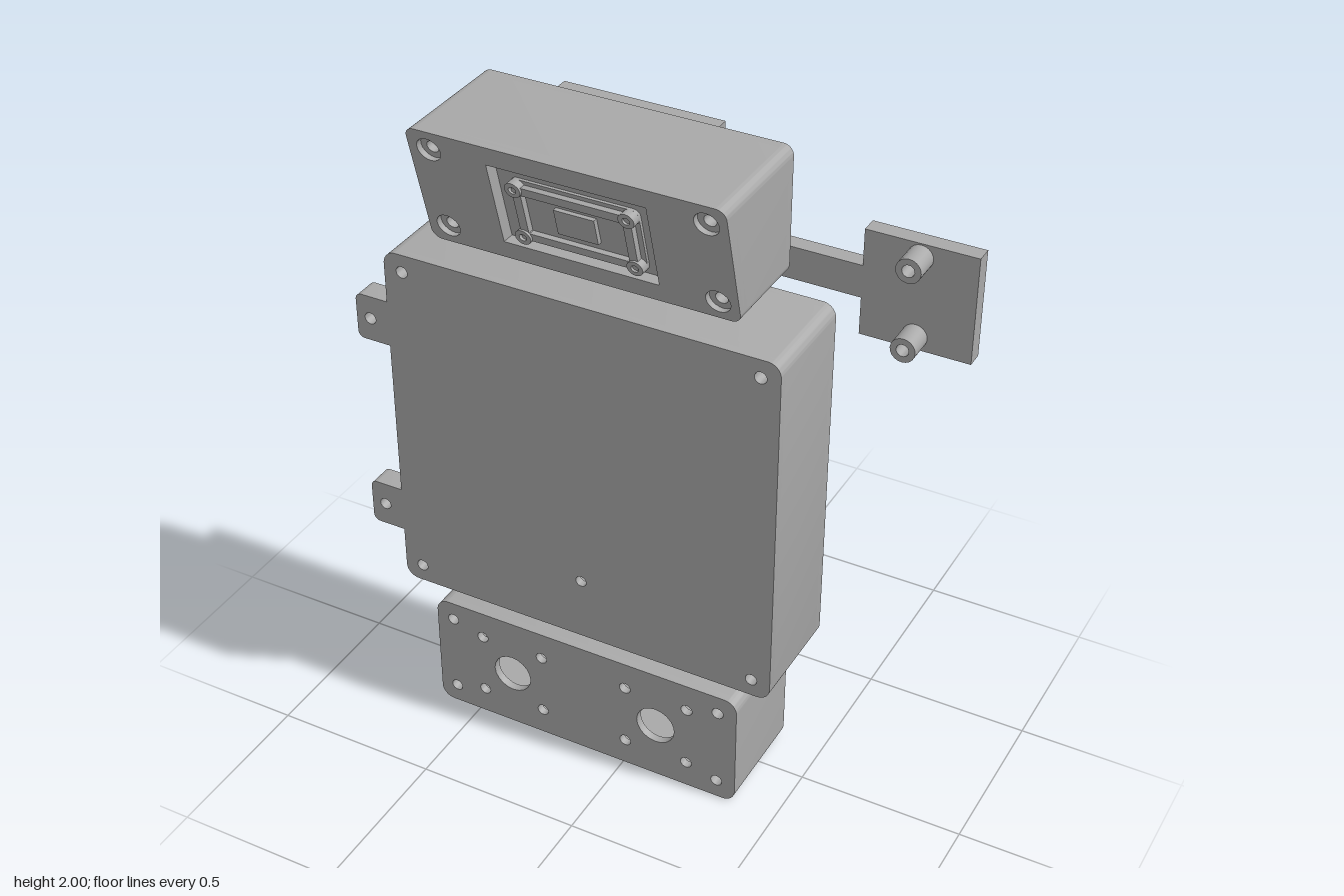
import * as THREE from 'three';
import { toCreasedNormals } from 'three/addons/utils/BufferGeometryUtils.js';

const HOLE = 0.018, BOSS = 0.036;

export function createModel() {
  const model = new THREE.Group();
  const grey = new THREE.MeshStandardMaterial({ color: 0xa8a8a8 });
  grey.name = 'plain grey';

  // Rounded rectangle outline
  function rect(x0, x1, y0, y1, r = 0, P = THREE.Shape) {
    const s = new P();
    if (!r) {
      s.moveTo(x0, y0); s.lineTo(x1, y0); s.lineTo(x1, y1); s.lineTo(x0, y1); s.closePath();
      return s;
    }
    s.absarc(x1 - r, y0 + r, r, -Math.PI / 2, 0);
    s.absarc(x1 - r, y1 - r, r, 0, Math.PI / 2);
    s.absarc(x0 + r, y1 - r, r, Math.PI / 2, Math.PI);
    s.absarc(x0 + r, y0 + r, r, Math.PI, Math.PI * 1.5);
    s.closePath();
    return s;
  }
  const circle = (x, y, r = HOLE) => new THREE.Path().absarc(x, y, r, 0, Math.PI * 2, true);
  const slot = (x, y, w, h) => rect(x - w / 2, x + w / 2, y - h / 2, y + h / 2, 0, THREE.Path);
  const grid = (xs, ys) => xs.flatMap(x => ys.map(y => [x, y]));
  const drill = (pts, r) => pts.map(([x, y]) => circle(x, y, r));

  // Extruded part from z0 to z1; lean moves its vertices in z by a rule
  function add(parent, name, shape, z0, z1, holes = [], lean = null) {
    shape.holes.push(...holes);
    const g = new THREE.ExtrudeGeometry(shape, { depth: z1 - z0, bevelEnabled: false, curveSegments: 10 });
    g.translate(0, 0, z0);
    if (lean) {
      const p = g.attributes.position;
      for (let i = 0; i < p.count; i++) p.setZ(i, p.getZ(i) + lean(p.getY(i), p.getZ(i)));
    }
    const m = new THREE.Mesh(toCreasedNormals(g, 0.5), grey);
    m.name = name;
    parent.add(m);
    return m;
  }
  function group(name) {
    const g = new THREE.Group();
    g.name = name;
    model.add(g);
    return g;
  }
  const tube = (parent, name, x, y, z0, z1) =>
    add(parent, name, new THREE.Shape().absarc(x, y, BOSS, 0, Math.PI * 2), z0, z1, [circle(x, y)]);

  // Hollow box: front panel, back panel, wall ring and corner screw tubes
  function enclosure(name, [x0, x1, y0, y1], r, screws, frontHoles, backHoles) {
    const g = group(name), t = 0.025, zb = -0.14, zf = 0.19;
    add(g, 'frontPanel', rect(x0, x1, y0, y1, r), zf - t, zf, [...drill(screws), ...frontHoles]);
    add(g, 'backPanel', rect(x0, x1, y0, y1, r), zb, zb + t, [...drill(screws), ...backHoles]);
    add(g, 'wall', rect(x0, x1, y0, y1, r), zb + t, zf - t,
      [rect(x0 + t, x1 - t, y0 + t, y1 - t, 0.015, THREE.Path)]);
    screws.forEach(([x, y]) => tube(g, 'screwTube', x, y, zb + t, zf - t));
    return g;
  }

  const plateHoles = grid([-0.32, 0.055], [0.193, 0.988, 1.79]);
  const armHoles = [[-0.255, 1.62], [-0.015, 1.62]];

  // Lower box with two round openings
  enclosure('lowerBox', [-0.635, 0.37, 0.005, 0.385], 0.04,
    grid([-0.58, 0.31], [0.065, 0.325]),
    [...drill(grid([-0.478, -0.275, 0.007, 0.21], [0.092, 0.295])),
      ...drill([[-0.378, 0.193], [0.108, 0.193]], 0.062)],
    drill(plateHoles.filter(p => p[1] < 0.4)));

  // Main box with side tabs
  const main = enclosure('mainBox', [-0.735, 0.47, 0.44, 1.565], 0.04,
    grid([-0.678, 0.412], [0.495, 1.51]), [circle(-0.133, 0.64, 0.017)],
    [slot(0.147, 0.98, 0.03, 0.135), slot(-0.42, 0.98, 0.03, 0.135)]);
  for (const y of [0.682, 1.327]) {
    const s = new THREE.Shape();
    s.moveTo(-0.735, y - 0.072);
    s.lineTo(-0.735, y + 0.072);
    s.absarc(-0.82, y + 0.052, 0.02, Math.PI / 2, Math.PI);
    s.absarc(-0.82, y - 0.052, 0.02, Math.PI, Math.PI * 1.5);
    s.closePath();
    add(main, 'sideTab', s, 0.12, 0.19, [circle(-0.795, y)]);
  }

  // Head with a front that leans forward towards the top
  const head = group('head');
  const lean = y => (y - 1.62) * 0.276;
  const outline = () => rect(-0.6, 0.33, 1.62, 2, 0.03);
  const headScrews = grid([-0.538, 0.27], [1.678, 1.94]);
  const opening = () => rect(-0.365, 0.1, 1.677, 1.94, 0, THREE.Path);
  add(head, 'frontPanel', outline(), 0.12, 0.14, [...drill(headScrews, BOSS), opening()], lean);
  add(head, 'screwSeatPanel', outline(), 0.1, 0.12, [...drill(headScrews), opening()], lean);
  add(head, 'wall', outline(), -0.115, 0.1,
    [rect(-0.575, 0.305, 1.645, 1.975, 0.015, THREE.Path)], (y, z) => z > 0 ? lean(y) : 0);
  add(head, 'backPanel', outline(), -0.14, -0.115, drill(headScrews));
  headScrews.forEach(([x, y]) => tube(head, 'screwTube', x, y, -0.115, 0.1 + lean(y)));

  // Sensor module set into the head opening
  add(head, 'recessFloor', rect(-0.38, 0.115, 1.66, 1.955), 0.085, 0.1, [], lean);
  add(head, 'moduleBoard', rect(-0.325, 0.055, 1.688, 1.895, 0.02), 0.1, 0.11, [], lean);
  add(head, 'moduleFrame', rect(-0.31, 0.04, 1.7, 1.882, 0.01), 0.11, 0.13,
    [rect(-0.285, 0.015, 1.725, 1.855, 0, THREE.Path)], lean);
  add(head, 'lens', rect(-0.195, -0.075, 1.75, 1.832), 0.11, 0.125, [], lean);
  for (const [x, y] of grid([-0.302, 0.032], [1.71, 1.872]))
    add(head, 'moduleScrew', new THREE.Shape().absarc(x, y, 0.024, 0, Math.PI * 2), 0.11, 0.138,
      [circle(x, y, 0.011)], lean);

  // Long back plate joining the three boxes
  add(model, 'backPlate', rect(-0.375, 0.108, 0.015, 1.99), -0.193, -0.14,
    [...drill(plateHoles), ...drill(armHoles),
      ...grid([-0.32, 0.055], [0.55, 1.446]).map(([x, y]) => slot(x, y, 0.035, 0.15))]);

  // Side arm ending in a square mount with two standoffs
  const arm = group('sideArm');
  const mounts = [[0.673, 1.5], [0.673, 1.74]];
  add(arm, 'armBar', rect(-0.375, 0.515, 1.572, 1.67), -0.243, -0.193, drill(armHoles));
  add(arm, 'mountPlate', rect(0.515, 0.835, 1.46, 1.78), -0.243, -0.193, drill(mounts));
  mounts.forEach(([x, y]) => tube(arm, 'standoff', x, y, -0.193, -0.113));

  return model;
}
